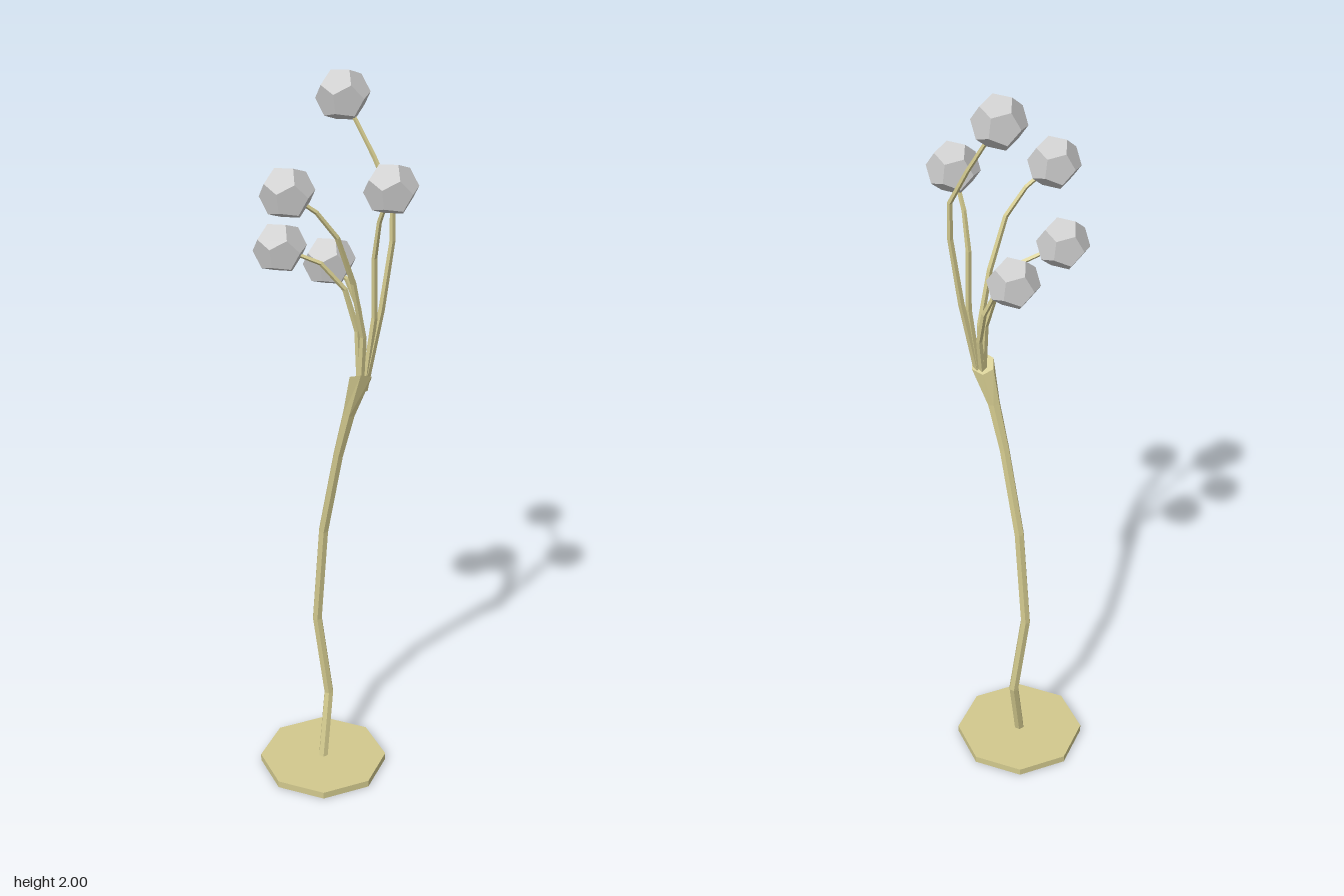
import * as THREE from 'three';

const wood = new THREE.MeshStandardMaterial({ color: 0xd2c98e, flatShading: true, side: THREE.DoubleSide });
const grey = new THREE.MeshStandardMaterial({ color: 0xcccccc, flatShading: true });

// Skin a path of [x, y, z, radius] with a polygonal section, square to the path
function loft(path, sides, endNormal) {
  const pts = path.map(p => new THREE.Vector3(p[0], p[1], p[2]));
  const pos = [], index = [];
  pts.forEach((p, i) => {
    const before = pts[Math.max(i - 1, 0)], after = pts[Math.min(i + 1, pts.length - 1)];
    const n = i === pts.length - 1 && endNormal
      ? endNormal.clone().normalize()
      : after.clone().sub(before).normalize();
    const u = new THREE.Vector3(0, 0, 1).addScaledVector(n, -n.z).normalize();
    const v = n.clone().cross(u);
    for (let j = 0; j < sides; j++) {
      const a = (j / sides) * Math.PI * 2;
      const q = p.clone()
        .addScaledVector(u, Math.cos(a) * path[i][3])
        .addScaledVector(v, Math.sin(a) * path[i][3]);
      pos.push(q.x, q.y, q.z);
      if (i === 0) continue;
      const k = (j + 1) % sides, lo = (i - 1) * sides, hi = i * sides;
      index.push(lo + j, lo + k, hi + k, lo + j, hi + k, hi + j);
    }
  });
  // End cap
  const top = (pts.length - 1) * sides;
  for (let j = 1; j < sides - 1; j++) index.push(top, top + j, top + j + 1);
  const g = new THREE.BufferGeometry();
  g.setAttribute('position', new THREE.Float32BufferAttribute(pos, 3));
  g.setIndex(index);
  g.computeVertexNormals();
  return g;
}

export function createModel() {
  const model = new THREE.Group();
  model.name = 'branchingFloorLamp';
  const add = (name, geometry, material) => {
    const mesh = new THREE.Mesh(geometry, material);
    mesh.name = name;
    model.add(mesh);
    return mesh;
  };

  // Octagonal foot plate
  add('base', new THREE.CylinderGeometry(0.18, 0.18, 0.02, 8), wood).position.set(-0.027, 0.01, -0.016);

  // Crooked trunk, flaring into a slanted socket at the top
  add('trunk', loft([
    [-0.027, 0.01, -0.014, 0.014],
    [-0.01, 0.21, -0.058, 0.014],
    [-0.042, 0.46, -0.058, 0.014],
    [-0.024, 0.75, -0.04, 0.014],
    [0.015, 1.0, 0.0, 0.014],
    [0.042, 1.13, 0.022, 0.017],
    [0.07, 1.238, 0.042, 0.032],
  ], 6, new THREE.Vector3(0, 1, -0.7)), wood);

  // Each branch runs from the socket to the centre of its bulb
  const branches = [
    [[0.08, 1.2, 0.035], [0.122, 1.42, 0.03], [0.146, 1.6, 0.03], [0.145, 1.7, 0.025], [0.1, 1.8, -0.01], [0.025, 1.94, -0.053]],
    [[0.08, 1.2, 0.035], [0.104, 1.4, 0.037], [0.102, 1.56, 0.043], [0.112, 1.66, 0.065], [0.137, 1.755, 0.106]],
    [[0.07, 1.2, 0.04], [0.076, 1.35, 0.042], [0.05, 1.5, 0.06], [0.01, 1.63, 0.095], [-0.04, 1.7, 0.113], [-0.109, 1.755, 0.133]],
    [[0.07, 1.2, 0.035], [0.062, 1.36, 0.025], [0.03, 1.47, 0.02], [-0.03, 1.54, 0.024], [-0.13, 1.585, 0.035]],
    [[0.07, 1.2, 0.035], [0.078, 1.32, 0.014], [0.065, 1.41, -0.008], [0.035, 1.48, -0.025], [-0.008, 1.52, -0.047]],
  ];
  branches.forEach((path, i) => {
    const last = path.length - 1;
    const tapered = path.map((p, k) => [...p, 0.009 - 0.004 * (k / last)]);
    add('branch' + (i + 1), loft(tapered, 4), wood);

    // Faceted bulb at the tip
    const bulb = add('bulb' + (i + 1), new THREE.DodecahedronGeometry(0.067), grey);
    bulb.position.set(...path[last]);
    bulb.rotation.set(0.15, -0.35, 0.12);
  });

  return model;
}
